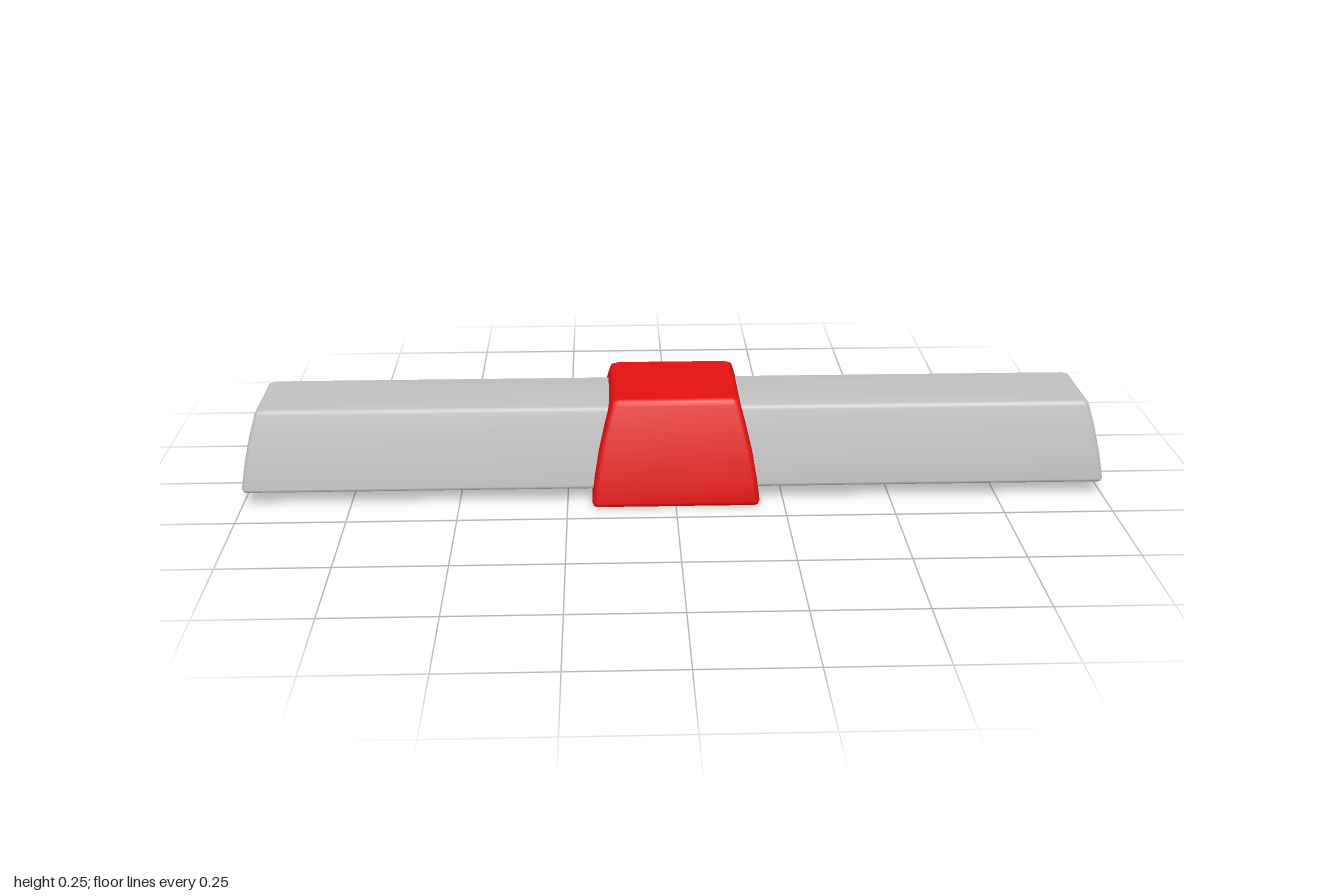
import * as THREE from 'three';

// Soft tapered block: levels are [y, halfX, halfZ], capped by fans to a crowned or dished centre
function taperedBlock(levels, radius, bottomY, topY) {
  const steps = 4, n = 4 * (steps + 1);
  const pos = [], index = [];
  for (const [y, hx, hz] of levels) {
    for (let q = 0; q < 4; q++) {
      const sx = q === 0 || q === 3 ? 1 : -1, sz = q < 2 ? 1 : -1;
      for (let s = 0; s <= steps; s++) {
        const a = (q + s / steps) * Math.PI / 2;
        pos.push(sx * (hx - radius) + radius * Math.cos(a), y, sz * (hz - radius) + radius * Math.sin(a));
      }
    }
  }
  const last = (levels.length - 1) * n, bottom = levels.length * n, top = bottom + 1;
  pos.push(0, bottomY, 0, 0, topY, 0);
  for (let i = 0; i < n; i++) {
    const j = (i + 1) % n;
    for (let k = 0; k < last; k += n) {
      index.push(k + i, k + n + i, k + j, k + j, k + n + i, k + n + j);
    }
    index.push(bottom, i, j, top, last + j, last + i);
  }
  const geo = new THREE.BufferGeometry();
  geo.setAttribute('position', new THREE.Float32BufferAttribute(pos, 3));
  geo.setIndex(index);
  geo.computeVertexNormals();
  return geo;
}

export function createModel() {
  const group = new THREE.Group();
  const grey = new THREE.MeshStandardMaterial({ color: 0xc0c0c0 });
  grey.name = 'light grey';
  const red = new THREE.MeshStandardMaterial({ color: 0xe31010 });
  red.name = 'red';

  // Long bar with sloping sides and ends
  const bar = new THREE.Mesh(taperedBlock([
    [0.03, 0.991, 0.139], [0.032, 0.997, 0.145], [0.039, 1, 0.148],
    [0.1, 0.991, 0.137], [0.16, 0.978, 0.125],
    [0.208, 0.965, 0.113], [0.215, 0.962, 0.11], [0.219, 0.955, 0.103],
  ], 0.01, 0.03, 0.225), grey);
  bar.name = 'bar';

  // Bulging square band around the middle, slightly dished on top
  const band = new THREE.Mesh(taperedBlock([
    [0, 0.182, 0.182], [0.003, 0.19, 0.19], [0.012, 0.193, 0.193],
    [0.06, 0.187, 0.187], [0.12, 0.177, 0.177], [0.18, 0.163, 0.163],
    [0.232, 0.149, 0.149], [0.242, 0.145, 0.145], [0.247, 0.136, 0.136],
  ], 0.013, 0, 0.236), red);
  band.name = 'centreBand';

  group.add(bar, band);
  return group;
}
